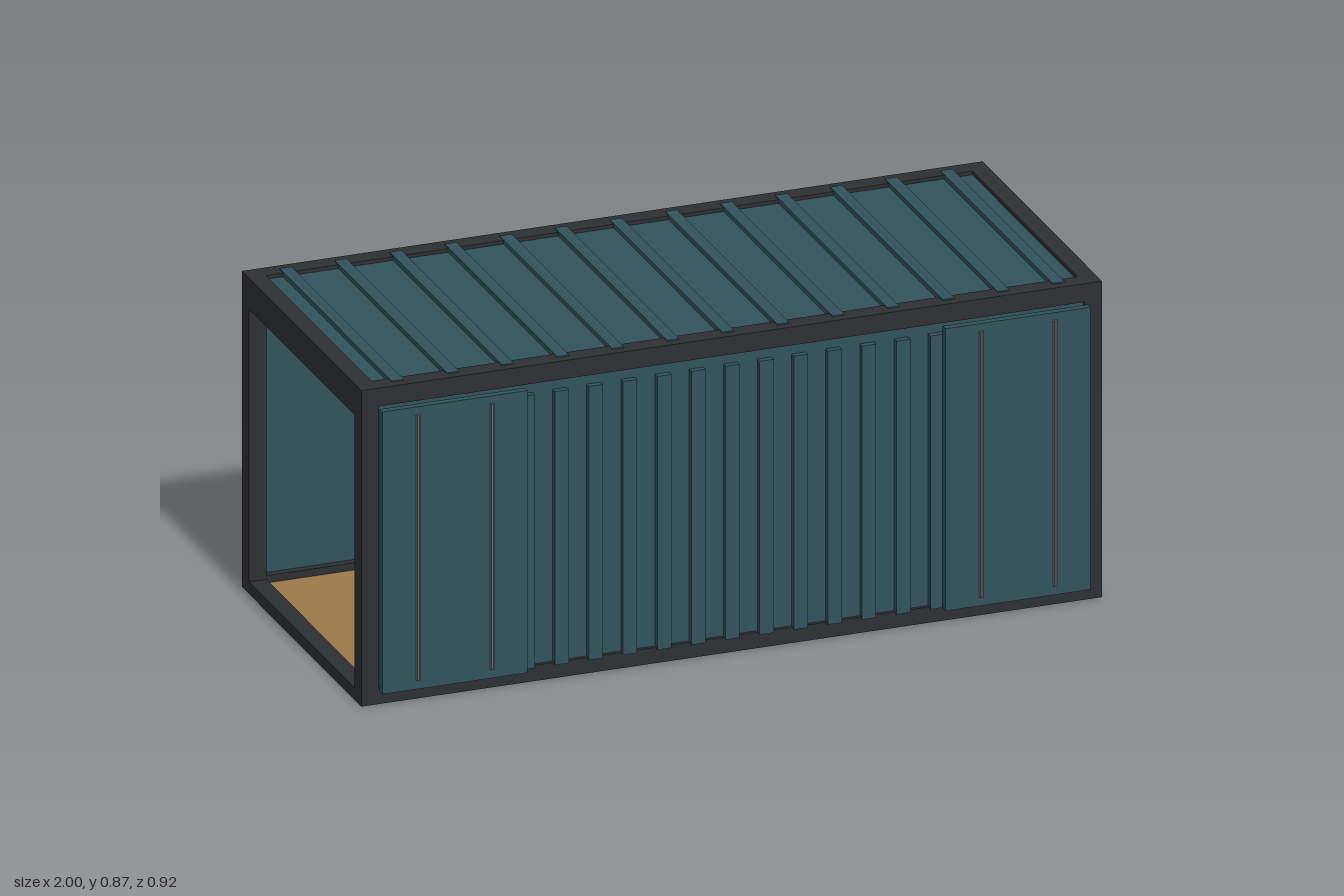
import * as THREE from 'three';

const material = (color) => new THREE.MeshStandardMaterial({ color, flatShading: true });

export function createModel() {
  const model = new THREE.Group();
  const steel = material(0x2e2f33);
  const paint = material(0x31525c);
  const wood = material(0x9c7a4a);
  const metal = material(0x66686c);

  // Box given by its lower and upper corners
  const box = (name, mat, [x0, y0, z0], [x1, y1, z1]) => {
    const mesh = new THREE.Mesh(new THREE.BoxGeometry(x1 - x0, y1 - y0, z1 - z0), mat);
    mesh.position.set((x0 + x1) / 2, (y0 + y1) / 2, (z0 + z1) / 2);
    mesh.name = name;
    model.add(mesh);
    return mesh;
  };
  // Box placed on the +z or -z side, with z measured outwards
  const sideBox = (name, mat, s, [x0, y0, z0], [x1, y1, z1]) =>
    box(name, mat, [x0, y0, Math.min(s * z0, s * z1)], [x1, y1, Math.max(s * z0, s * z1)]);

  // Floor
  box('floor', wood, [-0.985, 0, -0.41], [0.985, 0.025, 0.41]);

  // End frames: posts, header and sill
  for (const e of [-1, 1]) {
    const x0 = e > 0 ? 0.953 : -1;
    const x1 = x0 + 0.047;
    for (const s of [-1, 1]) sideBox('cornerPost', steel, s, [x0, 0.002, 0.37], [x1, 0.865, 0.42]);
    box('endHeader', steel, [x0, 0.78, -0.37], [x1, 0.865, 0.37]);
    box('endSill', steel, [x0, 0.002, -0.37], [x1, 0.035, 0.37]);
  }

  for (const s of [-1, 1]) {
    // Long rails and side wall
    sideBox('topRail', steel, s, [-0.953, 0.815, 0.37], [0.953, 0.865, 0.42]);
    sideBox('bottomRail', steel, s, [-0.953, 0.002, 0.37], [0.953, 0.045, 0.42]);
    sideBox('sideWall', paint, s, [-0.953, 0.045, 0.39], [0.953, 0.815, 0.41]);

    // Upright wall ribs
    for (let i = -10; i <= 10; i++) {
      const x = i * 0.0922;
      sideBox('wallRib', paint, s, [x - 0.019, 0.04, 0.4], [x + 0.019, 0.787, 0.426]);
    }

    // Door panels standing off the wall, each with two locking rods
    for (const e of [-1, 1]) {
      const cx = e * 0.76;
      sideBox('doorPanel', paint, s, [cx - 0.196, 0.042, 0.434], [cx + 0.196, 0.813, 0.453]);
      for (const dx of [-0.1, 0.1]) {
        const rod = new THREE.Mesh(new THREE.CylinderGeometry(0.006, 0.006, 0.725, 8), metal);
        rod.name = 'lockingRod';
        rod.position.set(cx + dx, 0.43, s * 0.456);
        model.add(rod);
      }
    }
  }

  // Roof with cross ribs
  box('roof', paint, [-0.953, 0.835, -0.37], [0.953, 0.855, 0.37]);
  for (let i = -6; i <= 6; i++) {
    const x = i * 0.1487;
    box('roofRib', paint, [x - 0.016, 0.85, -0.395], [x + 0.016, 0.868, 0.395]);
  }

  return model;
}
